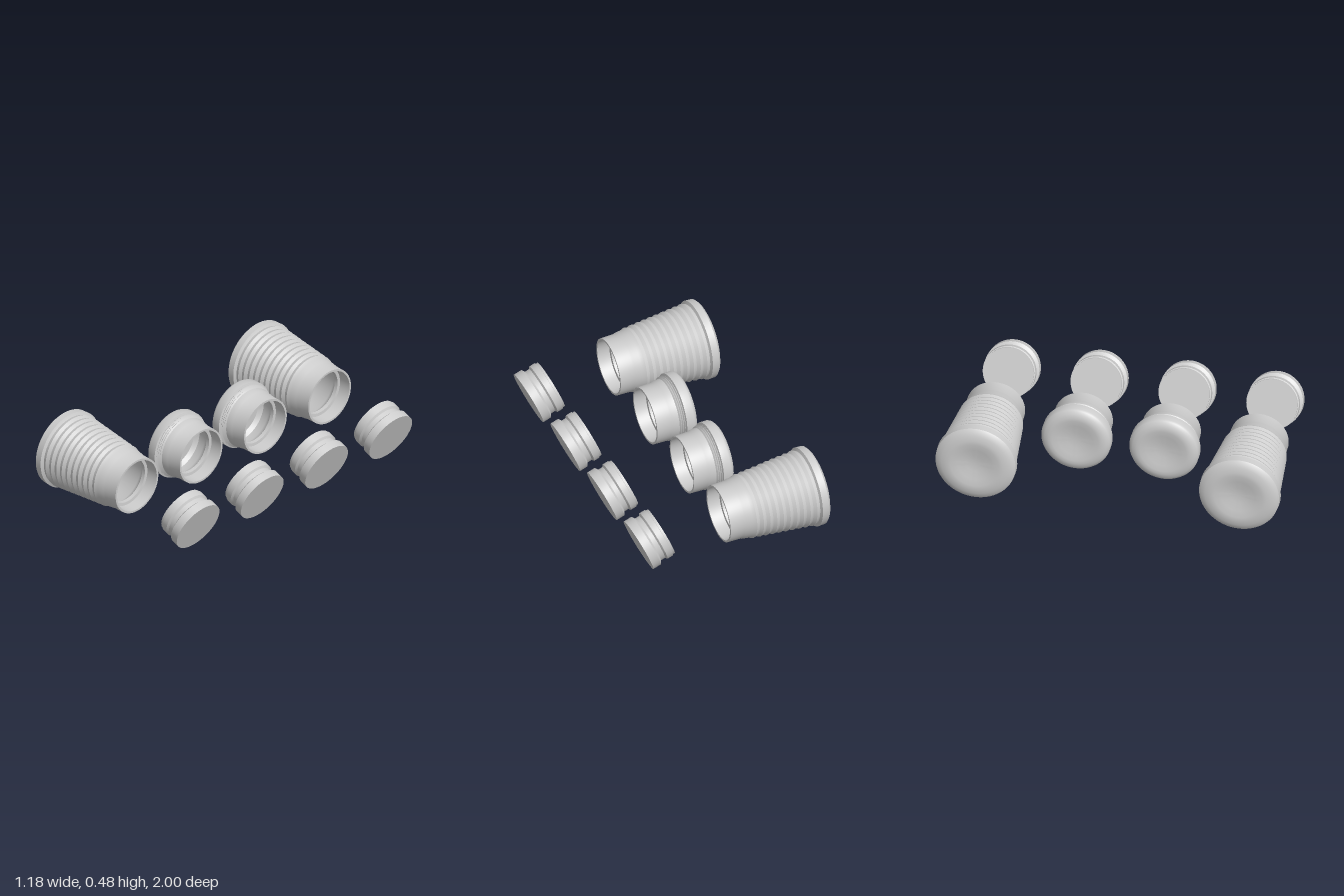
import * as THREE from 'three';
import { toCreasedNormals } from 'three/addons/utils/BufferGeometryUtils.js';

const SEGMENTS = 64;

// Spins [radius, distance along axis] pairs around the x axis
function turned(profile, crease = 0.5) {
  const points = profile.map(([r, s]) => new THREE.Vector2(r, s));
  const geometry = new THREE.LatheGeometry(points, SEGMENTS);
  geometry.rotateZ(-Math.PI / 2);
  return toCreasedNormals(geometry, crease);
}

// Zigzag ribs along a tapering wall
function ribs(count, s0, s1, r0, r1, height) {
  const out = [];
  for (let i = 0; i < count; i++) {
    for (const [f, h] of [[0, 0], [0.5, height]]) {
      const t = (i + f) / count;
      out.push([r0 + (r1 - r0) * t + h, s0 + (s1 - s0) * t]);
    }
  }
  return out;
}

// Collar, thin lip and inner ledge shared by both cups
const mouth = [
  [0.181, -0.135], [0.176, -0.095], [0.172, -0.085], [0.17, 0],
  [0.158, 0], [0.156, -0.075], [0.138, -0.077], [0.138, -0.1], [0.155, -0.115],
];

const largeCup = [
  // Dished base and rounded shoulder
  [0, -0.597], [0.05, -0.6], [0.1, -0.61], [0.14, -0.617], [0.165, -0.617],
  [0.195, -0.61], [0.22, -0.6], [0.233, -0.588], [0.235, -0.547], [0.223, -0.541],
  ...ribs(10, -0.538, -0.137, 0.218, 0.18, 0.008),
  ...mouth,
  // Inner wall and floor
  [0.168, -0.14], [0.205, -0.53], [0.19, -0.57], [0, -0.57],
];

const smallCup = [
  [0, -0.232], [0.05, -0.235], [0.1, -0.244], [0.135, -0.25], [0.155, -0.25],
  [0.18, -0.243], [0.197, -0.23], [0.203, -0.218], [0.203, -0.172], [0.194, -0.169],
  ...ribs(3, -0.168, -0.137, 0.19, 0.182, 0.006),
  ...mouth,
  [0.165, -0.14], [0.172, -0.19], [0.155, -0.215], [0, -0.215],
];

const lid = [
  // Stepped plug, groove and outer rim
  [0, -0.152], [0.147, -0.152], [0.147, -0.138], [0.153, -0.136], [0.153, -0.1],
  [0.141, -0.09], [0.141, -0.062], [0.16, -0.05], [0.16, 0], [0, 0],
];

export function createModel() {
  const group = new THREE.Group();
  const grey = new THREE.MeshStandardMaterial({ color: 0xcccccc });
  grey.name = 'light grey';

  const large = turned(largeCup);
  const small = turned(smallCup);
  const cap = turned(lid, 0.3);

  const add = (name, geometry, x, y, z, degrees) => {
    const mesh = new THREE.Mesh(geometry, grey);
    mesh.name = name;
    mesh.position.set(x, y, z);
    mesh.rotation.z = THREE.MathUtils.degToRad(degrees);
    group.add(mesh);
  };

  // Mirrored row: large cups outside, small cups inside, a lid before each
  for (const [side, label] of [[1, 'front'], [-1, 'back']]) {
    add(label + 'LargeCup', large, 0.03, 0.22, side * 0.767, -2.5);
    add(label + 'SmallCup', small, 0.03, 0.22, side * 0.256, -2.5);
    add(label + 'OuterLid', cap, 0.53, 0.149, side * 0.767, -22);
    add(label + 'InnerLid', cap, 0.53, 0.149, side * 0.256, -22);
  }
  return group;
}
